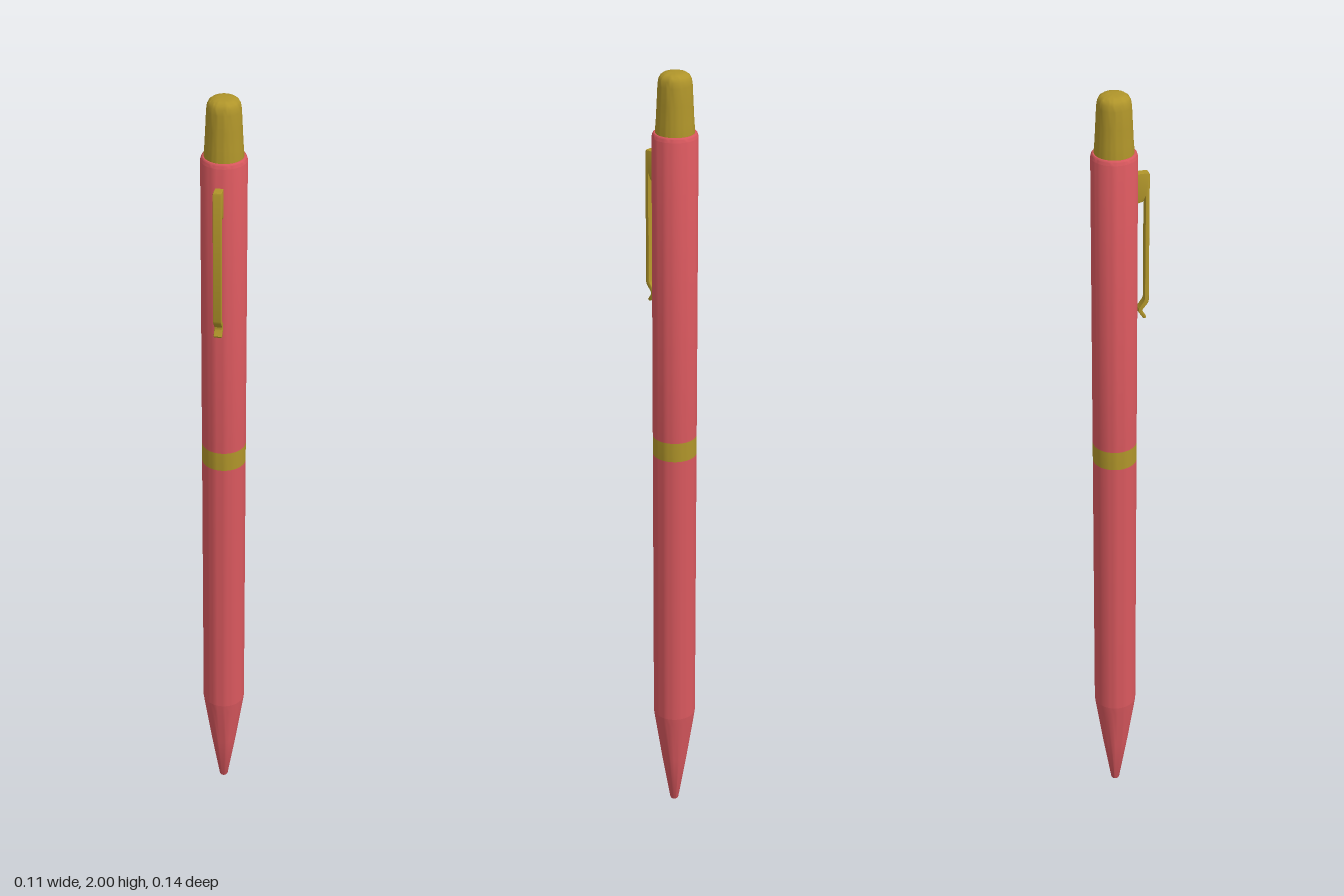
import * as THREE from 'three';
import { toCreasedNormals } from 'three/addons/utils/BufferGeometryUtils.js';

const AXIS_Z = -0.014; // the barrel sits behind centre because the clip sticks out in front
const R = 0.054;

export function createModel() {
  const pen = new THREE.Group();
  pen.name = 'pen';
  const red = new THREE.MeshStandardMaterial({ color: 0xd9585e });
  const gold = new THREE.MeshStandardMaterial({ color: 0xb0952a });

  function add(name, geometry, material, z = 0) {
    const mesh = new THREE.Mesh(toCreasedNormals(geometry, 0.6), material);
    mesh.name = name;
    mesh.position.z = z;
    pen.add(mesh);
  }

  // Turned parts: profiles of [radius, height], from bottom to top
  function turned(name, profile, material) {
    const points = profile.map(([r, y]) => new THREE.Vector2(r, y));
    add(name, new THREE.LatheGeometry(points, 48), material, AXIS_Z);
  }

  turned('tip', [[0, 0], [0.009, 0], [0.011, 0.004], [0.033, 0.14], [0.051, 0.262], [R, 0.285]], red);
  turned('lowerBarrel', [[R, 0.285], [R, 1.04]], red);
  turned('band', [[R, 1.04], [R, 1.09]], gold);
  turned('upperBarrel', [[R, 1.09], [R, 1.85], [0.052, 1.857], [0.049, 1.86], [0.04, 1.86]], red);
  turned('pushButton', [
    [0.046, 1.85], [0.046, 1.865], [0.044, 1.89], [0.042, 1.93], [0.04, 1.972],
    [0.038, 1.985], [0.034, 1.993], [0.027, 1.998], [0.015, 2], [0, 2],
  ], gold);

  // Clip: side outline in (z, y), extruded across the width
  const outline = [
    [0.03, 1.803], [0.066, 1.803], [0.068, 1.799], [0.068, 1.475], [0.066, 1.468],
    [0.053, 1.452], [0.053, 1.446], [0.062, 1.432], [0.06, 1.428], [0.055, 1.428],
    [0.043, 1.446], [0.043, 1.456], [0.056, 1.474], [0.058, 1.48], [0.058, 1.745],
    [0.052, 1.732], [0.03, 1.728],
  ].map(([z, y]) => new THREE.Vector2(z, y));
  const width = 0.02, bevel = 0.002;
  const clip = new THREE.ExtrudeGeometry(new THREE.Shape(outline), {
    depth: width - 2 * bevel, bevelThickness: bevel, bevelSize: bevel, bevelOffset: -bevel, bevelSegments: 2,
  });
  clip.translate(0, 0, bevel - width / 2);
  clip.rotateY(-Math.PI / 2);
  add('clip', clip, gold);

  return pen;
}
